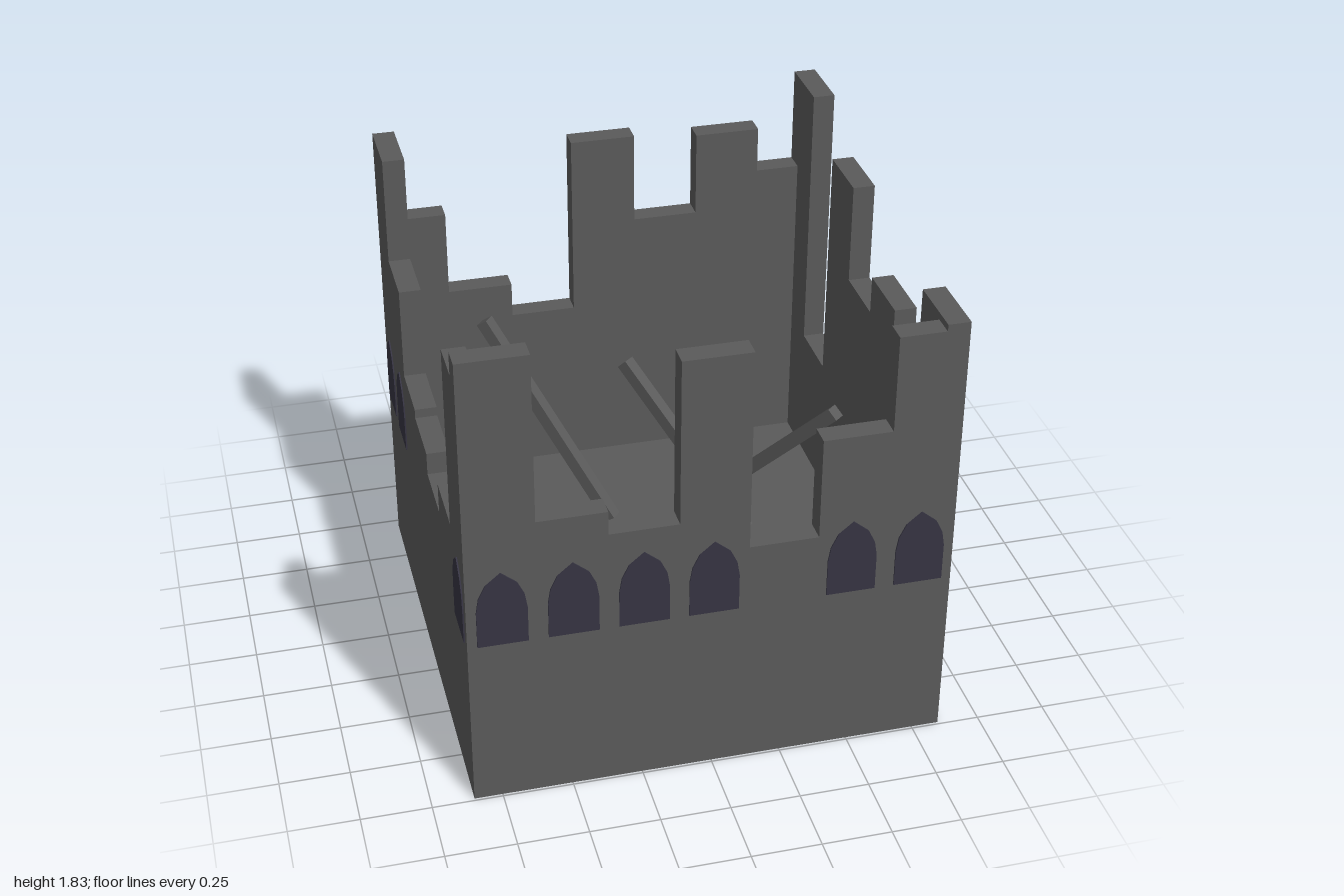
import * as THREE from 'three';

const HALF = 0.85;      // half the width of the square tower
const THICK = 0.08;     // wall thickness
const FLOOR = 0.3;      // inner floor height
const CENTER_Z = 0.14;
const SEG = (2 * HALF) / 7;

// Broken wall heights, read left to right when facing each wall from outside
const WALLS = [
  { name: 'frontWall', turn: 0, heights: [1.755, 1.125, 1.035, 1.66, 0.9, 1.285, 1.645] },
  { name: 'leftWall', turn: Math.PI / 2, heights: [1.67, 0.94, 1.455, 1.315, 1.69, 0.805, 1.83] },
  { name: 'backWall', turn: Math.PI, heights: [1.47, 1.645, 1.32, 1.67, 0.965, 1.1, 1.43] },
  { name: 'rightWall', turn: -Math.PI / 2, heights: [1.755, 1.35, 1.0, 0.965, 0.88, 0.995, 1.67] },
];

// Fallen beams: lower end, upper end
const BEAMS = [
  [[0.49, 0.3, -0.53], [0.743, 0.845, -0.975]],
  [[-0.09, 0.3, -0.14], [-0.5, 1.04, -0.485]],
  [[0.39, 0.3, 0.06], [0.02, 0.85, -0.37]],
  [[0.34, 0.3, -0.22], [0.685, 0.86, 0.19]],
  [[-0.603, 0.3, -0.28], [-0.564, 0.98, 0.125]],
];

// Stepped silhouette of a ruined wall
function wallGeometry(heights) {
  const s = new THREE.Shape();
  s.moveTo(-HALF, 0);
  heights.forEach((h, i) => {
    s.lineTo(-HALF + i * SEG, h);
    s.lineTo(-HALF + (i + 1) * SEG, h);
  });
  s.lineTo(HALF, 0);
  return new THREE.ExtrudeGeometry(s, { depth: THICK, bevelEnabled: false });
}

// Pointed arch plate
function windowGeometry() {
  const s = new THREE.Shape();
  s.moveTo(-0.087, 0.655);
  s.lineTo(0.087, 0.655);
  s.lineTo(0.087, 0.795);
  s.lineTo(0.078, 0.85);
  s.lineTo(0.054, 0.9);
  s.lineTo(0, 0.945);
  s.lineTo(-0.054, 0.9);
  s.lineTo(-0.078, 0.85);
  s.lineTo(-0.087, 0.795);
  return new THREE.ExtrudeGeometry(s, { depth: 0.008, bevelEnabled: false });
}

export function createModel() {
  const stone = new THREE.MeshStandardMaterial({ color: 0x5a5a5a });
  stone.name = 'stone';
  const dark = new THREE.MeshStandardMaterial({ color: 0x363442 });
  dark.name = 'windowDark';

  const model = new THREE.Group();
  model.name = 'ruinedTower';
  const add = (parent, geometry, material, name) => {
    const mesh = new THREE.Mesh(geometry, material);
    mesh.name = name;
    parent.add(mesh);
    return mesh;
  };

  // Floor slab between the walls
  const inner = 2 * (HALF - THICK);
  add(model, new THREE.BoxGeometry(inner, FLOOR, inner), stone, 'floor')
    .position.set(0, FLOOR / 2, CENTER_Z);

  // Four walls, with windows wherever the wall is still tall enough
  const arch = windowGeometry();
  for (const { name, turn, heights } of WALLS) {
    const side = new THREE.Group();
    side.name = name;
    side.position.z = CENTER_Z;
    side.rotation.y = turn;
    add(side, wallGeometry(heights), stone, name + 'Stone').position.z = HALF - THICK;
    heights.forEach((h, i) => {
      if (h < 1.02) return;
      add(side, arch, dark, 'window').position.set(-HALF + (i + 0.5) * SEG, 0, HALF - 0.003);
    });
    model.add(side);
  }

  // Leaning beams
  for (const [low, high] of BEAMS) {
    const a = new THREE.Vector3(...low);
    const b = new THREE.Vector3(...high);
    const beam = add(model, new THREE.BoxGeometry(0.046, 0.05, a.distanceTo(b)), stone, 'beam');
    beam.position.copy(a).lerp(b, 0.5);
    beam.lookAt(b);
  }
  return model;
}
